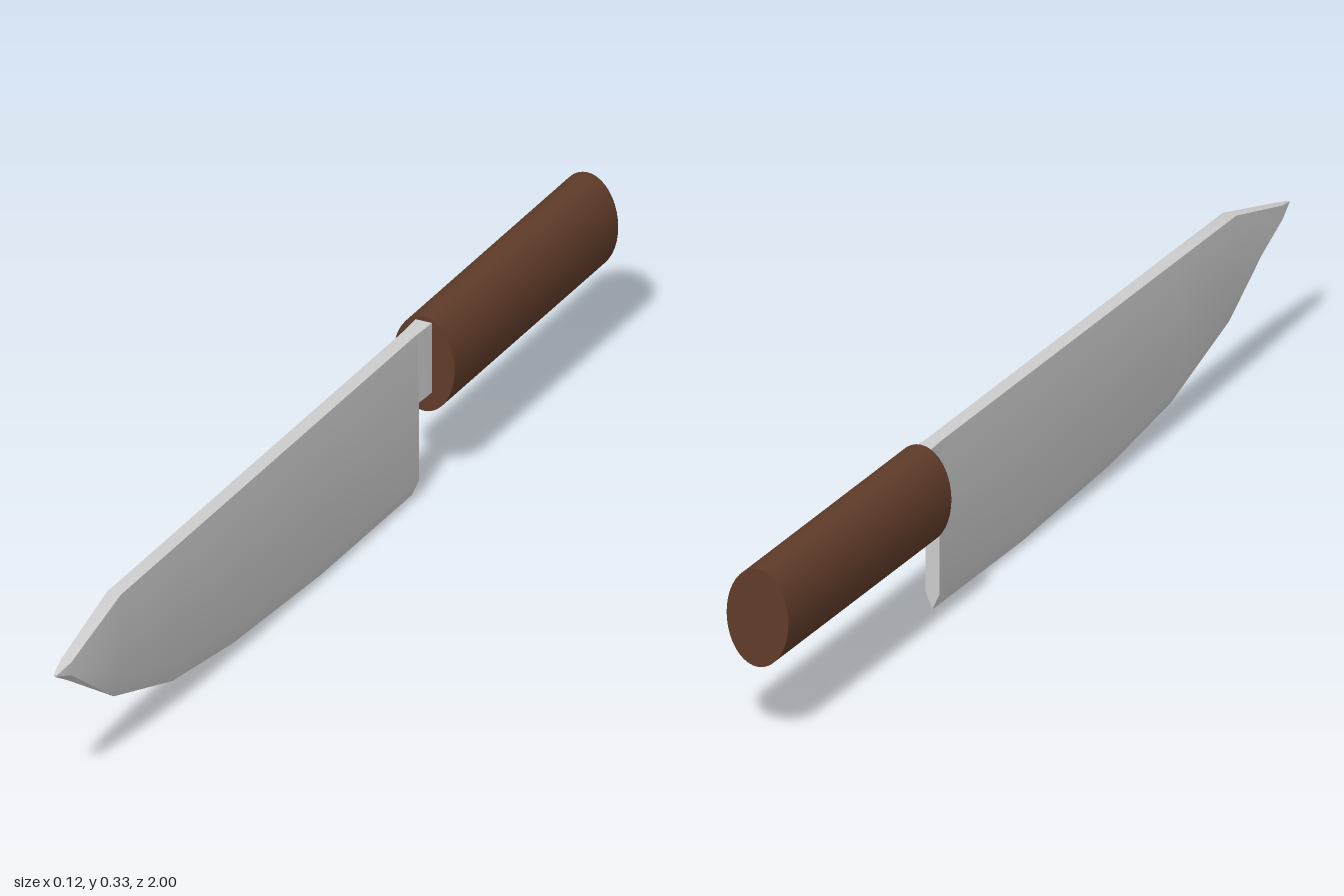
import * as THREE from 'three';
import { toCreasedNormals } from 'three/addons/utils/BufferGeometryUtils.js';

// Skins a list of equal-length rings (each counter-clockwise seen from +z, ordered by rising z) and caps both ends.
function loft(rings, crease) {
  const n = rings[0].length;
  const index = [];
  for (let s = 0; s < rings.length - 1; s++) {
    for (let i = 0; i < n; i++) {
      const a = s * n + i, b = s * n + (i + 1) % n;
      index.push(a, b, b + n, a, b + n, a + n);
    }
  }
  const last = (rings.length - 1) * n;
  for (let i = 1; i < n - 1; i++) {
    index.push(0, i + 1, i);
    index.push(last, last + i, last + i + 1);
  }
  const geometry = new THREE.BufferGeometry();
  geometry.setAttribute('position', new THREE.Float32BufferAttribute(rings.flat(2), 3));
  geometry.setIndex(index);
  return toCreasedNormals(geometry, crease);
}

export function createModel() {
  const group = new THREE.Group();
  const steel = new THREE.MeshStandardMaterial({ color: 0xcccccc });
  const wood = new THREE.MeshStandardMaterial({ color: 0x5f3b29 });
  const add = (name, geometry, material) => {
    const mesh = new THREE.Mesh(geometry, material);
    mesh.name = name;
    group.add(mesh);
    return mesh;
  };

  // Blade sections: z, cutting edge y, bevel y, spine y, half width
  const stations = [
    [-0.34, 0.003, 0.035, 0.32, 0.014],
    [0, 0.003, 0.036, 0.32, 0.014],
    [0.33, 0.02, 0.053, 0.32, 0.014],
    [0.56, 0.05, 0.085, 0.32, 0.014],
    [0.78, 0.12, 0.165, 0.32, 0.014],
    [0.96, 0.234, 0.245, 0.27, 0.011],
    [1.0, 0.257, 0.259, 0.261, 0.003],
  ];
  const bladeRings = stations.map(([z, edge, bevel, spine, w]) => [
    [w * 0.95, spine, z], [-w * 0.95, spine, z], [-w, bevel, z], [0, edge, z], [w, bevel, z],
  ]);
  add('blade', loft(bladeRings, 0.43), steel);

  // Neck joining the blade to the handle, flaring slightly towards the back
  const neckRings = [[-0.40, 0.016], [-0.36, 0.015], [-0.335, 0.0133]].map(([z, w]) => [
    [w, 0.32, z], [-w, 0.32, z], [-w, 0.185, z], [w, 0.185, z],
  ]);
  add('neck', loft(neckRings, 0.5), steel);

  // Oval handle
  const handleGeometry = new THREE.CylinderGeometry(1, 1, 0.615, 40);
  handleGeometry.rotateX(Math.PI / 2);
  handleGeometry.scale(0.06, 0.092, 1);
  add('handle', handleGeometry, wood).position.set(0, 0.238, -0.6925);

  return group;
}
